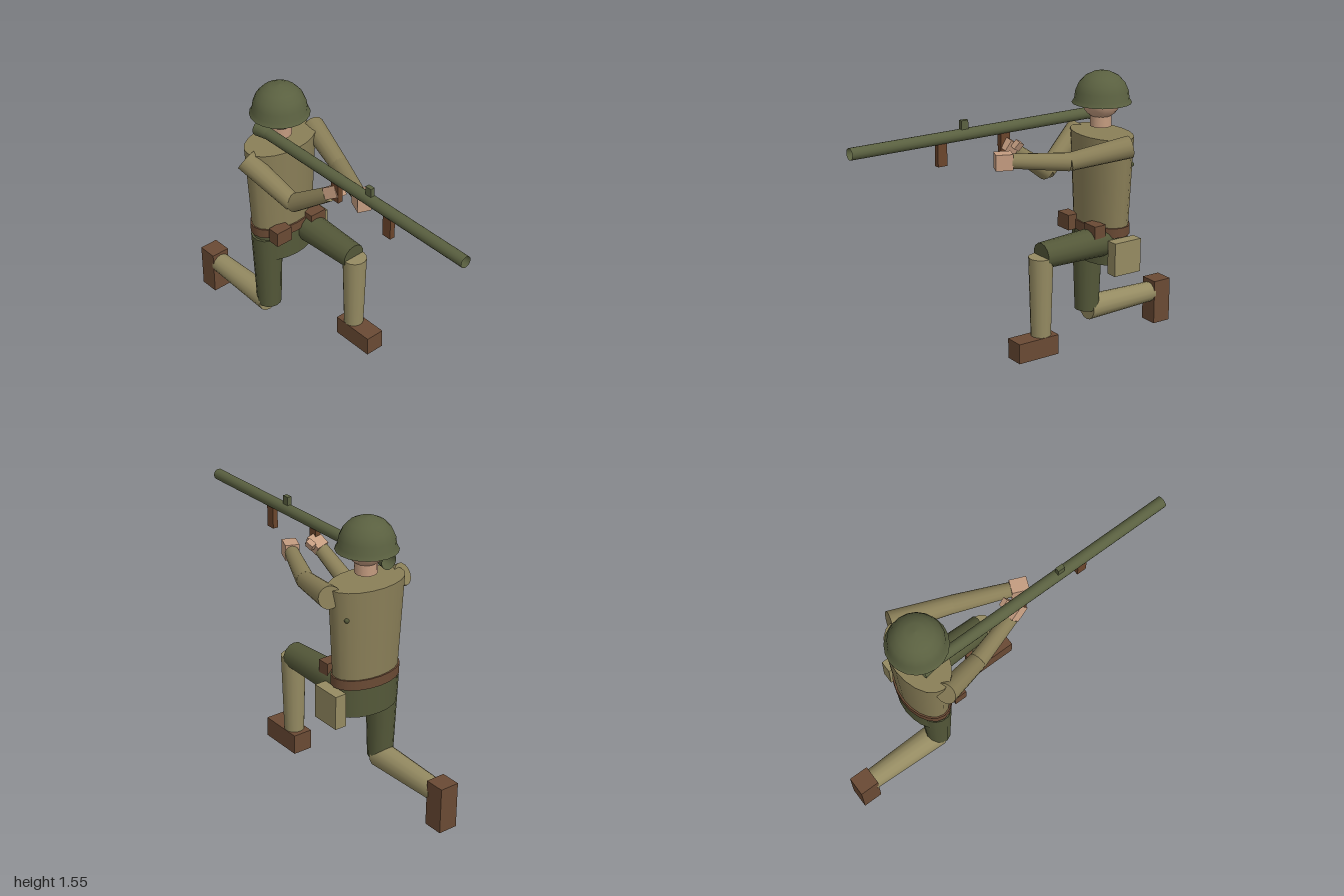
import * as THREE from 'three';

const mat = (name, color, side = THREE.FrontSide) => {
  const m = new THREE.MeshStandardMaterial({ color, side });
  m.name = name;
  return m;
};

export function createModel() {
  const root = new THREE.Group();
  root.name = 'kneelingSoldier';

  const jacket = mat('khaki jacket', 0x8a7f58);
  const canvas = mat('pale canvas', 0x958b62);
  const green = mat('dark green trousers', 0x545839);
  const steel = mat('olive steel', 0x5a6040, THREE.DoubleSide);
  const leather = mat('brown leather', 0x6a4a34);
  const wood = mat('brown wood', 0x6b452c);
  const skin = mat('skin', 0xc49c80);

  const V = (p) => new THREE.Vector3(...p);
  const UP = new THREE.Vector3(0, 1, 0);

  const add = (name, geometry, material, pos = [0, 0, 0]) => {
    const mesh = new THREE.Mesh(geometry, material);
    mesh.name = name;
    mesh.position.set(...pos);
    root.add(mesh);
    return mesh;
  };
  const box = (name, material, pos, size) => add(name, new THREE.BoxGeometry(...size), material, pos);

  // tapered limb running from point a (radius ra) to point b (radius rb)
  const limb = (name, material, a, b, ra, rb) => {
    const dir = V(b).sub(V(a));
    const mesh = add(name, new THREE.CylinderGeometry(rb, ra, dir.length(), 14), material);
    mesh.position.copy(V(a)).addScaledVector(dir, 0.5);
    mesh.quaternion.setFromUnitVectors(UP, dir.normalize());
    return mesh;
  };

  // oval body section between two heights
  const oval = (name, material, y0, y1, r0, r1, depth) => {
    const mesh = add(name, new THREE.CylinderGeometry(r1, r0, y1 - y0, 20), material, [0, (y0 + y1) / 2, -0.453]);
    mesh.scale.z = depth;
    return mesh;
  };

  // body
  oval('torso', jacket, 0.7, 1.22, 0.19, 0.22, 0.61);
  oval('hips', green, 0.52, 0.7, 0.187, 0.187, 0.63);
  oval('belt', leather, 0.68, 0.733, 0.2, 0.2, 0.63);
  for (const s of [-1, 1]) box('beltPouch', leather, [s * 0.12, 0.718, -0.325], [0.1, 0.085, 0.07]);
  box('hipBag', canvas, [0.218, 0.582, -0.45], [0.065, 0.185, 0.17]);
  add('jacketStud', new THREE.SphereGeometry(0.014, 8, 6), green, [0.175, 1.07, -0.52]);

  // head and open helmet
  add('neck', new THREE.CylinderGeometry(0.058, 0.058, 0.09, 14), skin, [0, 1.3, -0.445]);
  add('head', new THREE.SphereGeometry(0.105, 16, 12), skin, [0, 1.4, -0.445]);
  const shell = [[0.16, 1.382], [0.146, 1.405], [0.141, 1.445], [0.123, 1.487], [0.09, 1.523], [0.048, 1.544], [0, 1.55]];
  add('helmet', new THREE.LatheGeometry(shell.map((p) => new THREE.Vector2(...p)), 20), steel, [0, 0, -0.45]);

  // kneeling right leg
  limb('rightThigh', green, [-0.113, 0.655, -0.45], [-0.112, 0.18, -0.45], 0.086, 0.068);
  limb('rightShin', canvas, [-0.112, 0.18, -0.45], [-0.11, 0.18, -0.9], 0.07, 0.057);
  box('rightBoot', leather, [-0.11, 0.1275, -0.945], [0.108, 0.255, 0.11]);

  // raised left leg
  limb('leftThigh', green, [0.1, 0.65, -0.42], [0.106, 0.643, 0.01], 0.086, 0.07);
  limb('leftShin', canvas, [0.108, 0.64, 0.015], [0.106, 0.2, 0.013], 0.066, 0.054);
  box('leftBoot', leather, [0.107, 0.145, 0.06], [0.108, 0.11, 0.25]);

  // arms: shoulder to elbow to wrist
  const arms = [
    ['left', [0.235, 1.188, -0.46], [0.142, 1.137, -0.14], [0.022, 1.158, 0.14]],
    ['right', [-0.23, 1.185, -0.455], [-0.14, 1.01, -0.19], [-0.102, 1.178, 0.05]],
  ];
  for (const [side, shoulder, elbow, wrist] of arms) {
    limb(side + 'UpperArm', jacket, shoulder, elbow, 0.06, 0.048);
    limb(side + 'Forearm', jacket, elbow, wrist, 0.049, 0.039);
  }

  // hands, turned along the forearms
  const leftHand = box('leftHand', skin, [0.004, 1.16, 0.177], [0.075, 0.085, 0.09]);
  leftHand.rotation.y = -0.4;
  const rightHand = box('rightHand', skin, [-0.092, 1.205, 0.078], [0.072, 0.062, 0.085]);
  rightHand.rotation.set(-0.55, 0.2, -0.15);
  const thumb = box('rightThumb', skin, [-0.04, 1.215, 0.06], [0.03, 0.045, 0.045]);
  thumb.rotation.set(-0.5, 0.3, -0.3);

  // launcher: open tube with flared rear, sight and grips
  const pipe = (name, z0, z1, r0, r1) => {
    const mesh = add(name, new THREE.CylinderGeometry(r1, r0, z1 - z0, 16, 1, true), steel, [-0.1, 1.304, (z0 + z1) / 2]);
    mesh.rotation.x = Math.PI / 2;
  };
  pipe('launcherTube', -0.42, 1, 0.031, 0.031);
  pipe('launcherFlare', -0.5, -0.42, 0.045, 0.031);
  box('frontSight', steel, [-0.1, 1.355, 0.347], [0.024, 0.05, 0.04]);
  box('frontGrip', wood, [-0.1, 1.22, 0.483], [0.03, 0.12, 0.054]);
  box('rearGrip', wood, [-0.1, 1.225, 0.105], [0.03, 0.11, 0.055]);

  return root;
}
